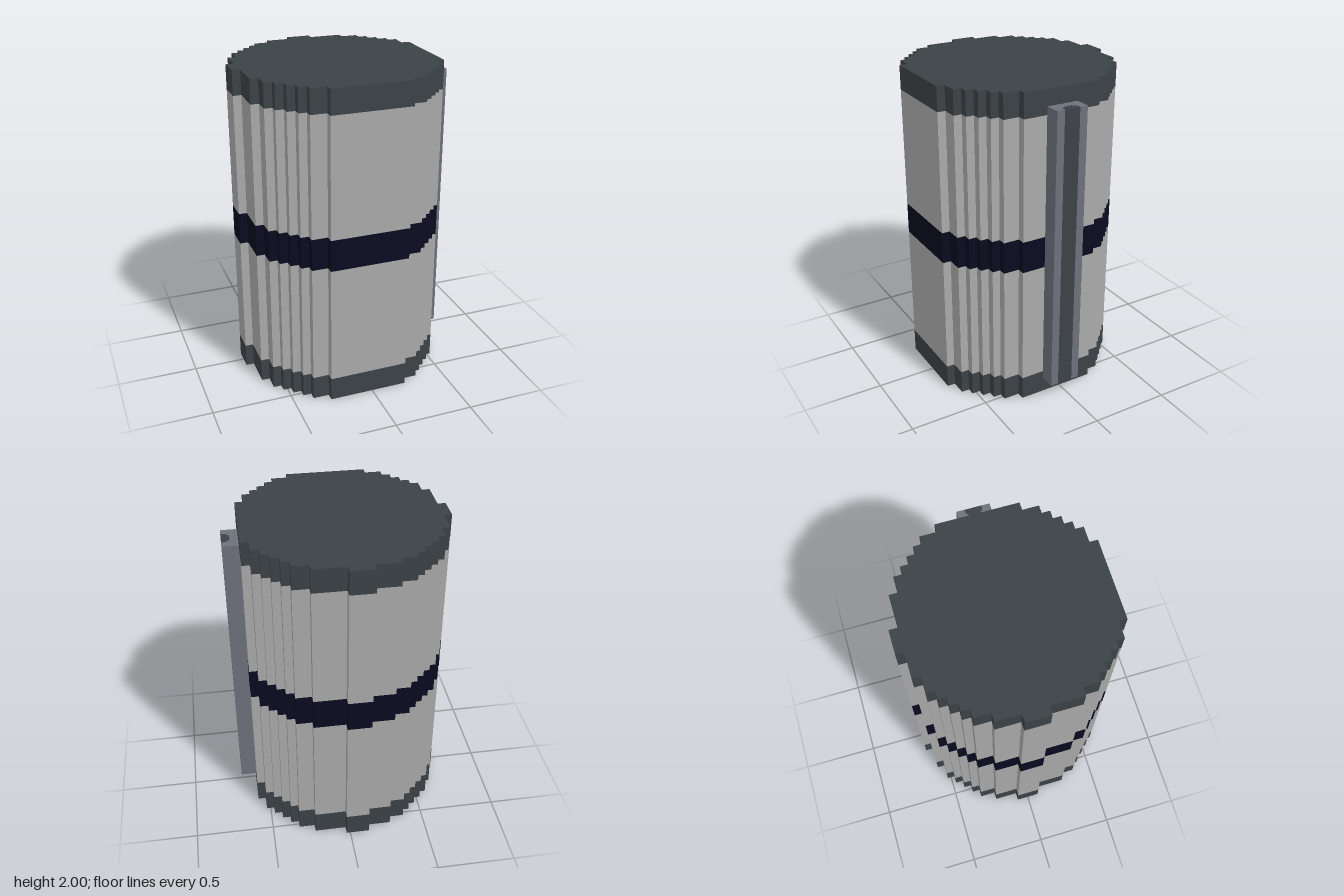
import * as THREE from 'three';

const mat = (name, color) => {
  const m = new THREE.MeshStandardMaterial({ color });
  m.name = name;
  return m;
};

// Extrude an outline of [x, z] points upwards from y0 to y1.
function prism(name, outline, y0, y1, material) {
  const shape = new THREE.Shape(outline.map(([x, z]) => new THREE.Vector2(x, -z)));
  const geo = new THREE.ExtrudeGeometry(shape, { depth: y1 - y0, bevelEnabled: false });
  geo.rotateX(-Math.PI / 2);
  geo.translate(0, y0, 0);
  const mesh = new THREE.Mesh(geo, material);
  mesh.name = name;
  return mesh;
}

// Stepped round outline: rows of [z start, left x, right x], back to front.
const END_Z = 0.625;
const ROWS = [
  [-0.625, -0.125, 0.025], [-0.575, -0.275, 0.225], [-0.525, -0.375, 0.325],
  [-0.475, -0.425, 0.375], [-0.425, -0.475, 0.425], [-0.375, -0.525, 0.475],
  [-0.325, -0.575, 0.525], [-0.225, -0.625, 0.575], [-0.075, -0.675, 0.575],
  [0.075, -0.625, 0.575], [0.275, -0.575, 0.525], [0.375, -0.525, 0.475],
  [0.425, -0.475, 0.425], [0.475, -0.425, 0.375], [0.525, -0.375, 0.325],
  [0.575, -0.275, 0.225],
];

function steppedOutline() {
  const left = [], right = [];
  ROWS.forEach(([z, l, r], i) => {
    const zEnd = i + 1 < ROWS.length ? ROWS[i + 1][0] : END_Z;
    left.push([l, z], [l, zEnd]);
    right.push([r, z], [r, zEnd]);
  });
  const loop = [...left, ...right.reverse()];
  // Drop repeated points where neighbouring rows share an edge.
  return loop.filter(([x, z], i) => {
    const [px, pz] = loop[(i + loop.length - 1) % loop.length];
    return x !== px || z !== pz;
  });
}

export function createModel() {
  const group = new THREE.Group();
  group.name = 'canister';
  const shell = mat('light grey', 0xaaaaaa);
  const dark = mat('dark slate', 0x3b4246);
  const navy = mat('dark navy', 0x0a0a20);
  const rail = mat('blue grey', 0x6d717b);

  // Stacked body sections
  const outline = steppedOutline();
  [
    ['bottomCap', 0, 0.15, dark],
    ['lowerShell', 0.15, 0.9, shell],
    ['middleBand', 0.9, 1.1, navy],
    ['upperShell', 1.1, 1.85, shell],
    ['topCap', 1.85, 2, dark],
  ].forEach(([name, y0, y1, m]) => group.add(prism(name, outline, y0, y1, m)));

  // Side rail with a dark rod set flush into its channel
  const channel = [
    [0.675, -0.025], [0.65, -0.025], [0.625, 0],
    [0.625, 0.05], [0.65, 0.075], [0.675, 0.075],
  ];
  const railOutline = [[0.575, 0.125], [0.575, -0.075], [0.675, -0.075], ...channel, [0.675, 0.125]];
  group.add(prism('sideRail', railOutline, 0.1, 1.9, rail));
  group.add(prism('railRod', channel, 0.1, 1.9, dark));

  return group;
}
